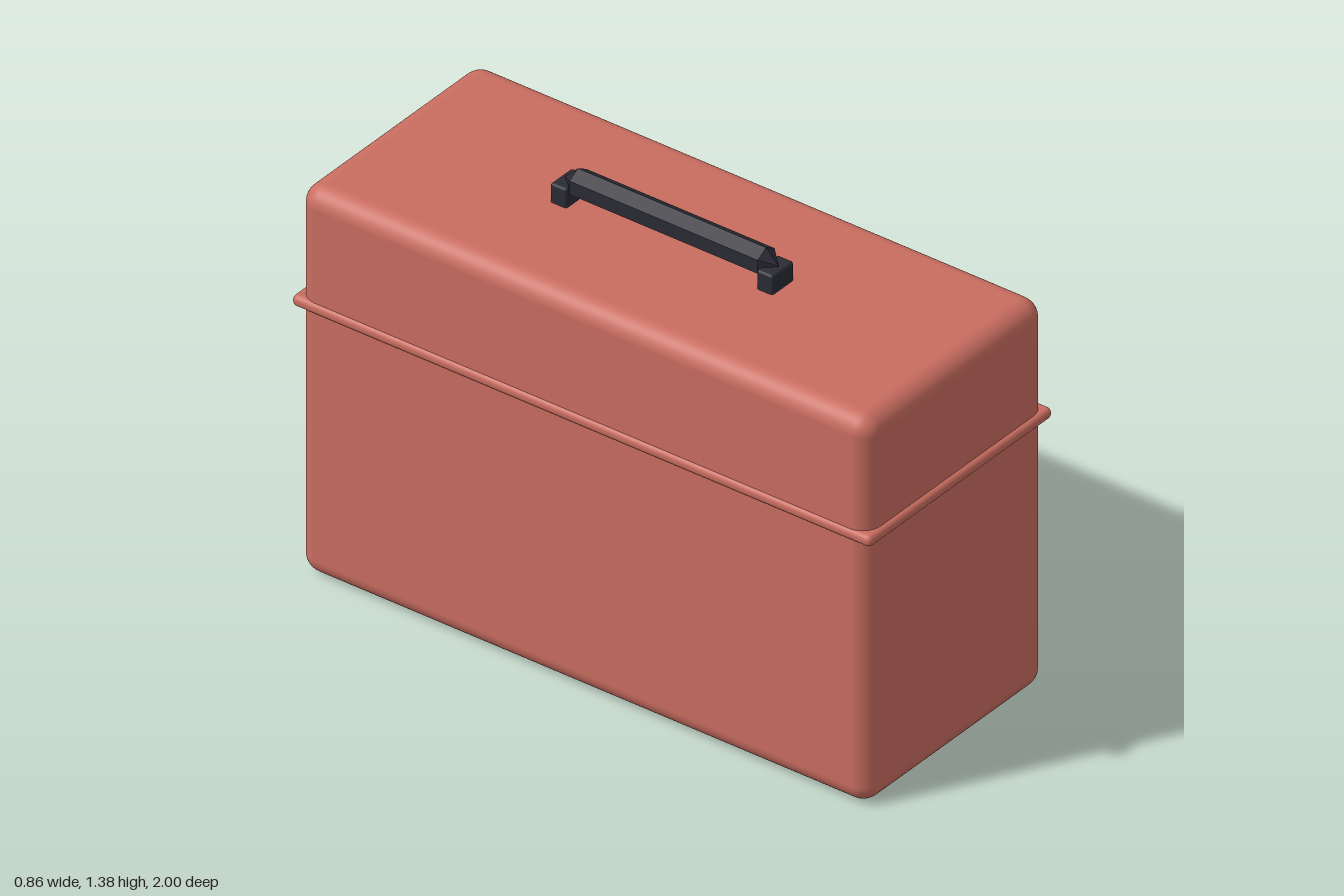
import * as THREE from 'three';
import { RoundedBoxGeometry } from 'three/addons/geometries/RoundedBoxGeometry.js';

const material = (name, color) => {
  const m = new THREE.MeshStandardMaterial({ color });
  m.name = name;
  return m;
};

// Gear outline: round body with straight-sided teeth, hole in the middle
function gearShape(bodyR, tipR, halfTooth, holeR, teeth) {
  const shape = new THREE.Shape();
  const root = Math.asin(halfTooth / bodyR);
  const step = (Math.PI * 2) / teeth;
  for (let i = 0; i < teeth; i++) {
    const a = i * step, c = Math.cos(a), s = Math.sin(a);
    const start = [bodyR * Math.cos(a - root), bodyR * Math.sin(a - root)];
    if (i === 0) shape.moveTo(...start);
    shape.lineTo(tipR * c + halfTooth * s, tipR * s - halfTooth * c);
    shape.lineTo(tipR * c - halfTooth * s, tipR * s + halfTooth * c);
    shape.lineTo(bodyR * Math.cos(a + root), bodyR * Math.sin(a + root));
    shape.absarc(0, 0, bodyR, a + root, a + step - root, false);
  }
  shape.holes.push(new THREE.Path().absarc(0, 0, holeR, 0, Math.PI * 2, true));
  return shape;
}

export function createModel() {
  const model = new THREE.Group();
  model.name = 'toolbox';
  const red = material('case red', 0xc96d60);
  const grey = material('light grey', 0xc4bfb6);
  const dark = material('dark grip', 0x2b2c35);

  const add = (name, geometry, mat, x, y, z) => {
    const mesh = new THREE.Mesh(geometry, mat);
    mesh.name = name;
    mesh.position.set(x, y, z);
    model.add(mesh);
    return mesh;
  };
  const rounded = (w, h, d, r, seg = 4) => new RoundedBoxGeometry(w, h, d, seg, r);
  const cx = -0.02; // the case sits slightly back from the latches

  // Case and the seam band around it
  add('case', rounded(0.81, 1.27, 1.97, 0.06, 5), red, cx, 0.635, 0);
  add('seamBand', rounded(0.828, 0.036, 2, 0.016), red, cx, 0.89, 0);

  // Latches and handle brackets, mirrored
  for (const side of [1, -1]) {
    add('latch', rounded(0.05, 0.146, 0.146, 0.012, 3), grey, 0.405, 0.891, side * 0.633);
    add('handleBracket', rounded(0.098, 0.075, 0.056, 0.008, 2), dark, cx, 1.294, side * 0.356);
  }

  // Six-sided grip with tapered ends
  const grip = new THREE.CapsuleGeometry(0.044, 0.65, 1, 6)
    .rotateY(Math.PI / 2).rotateX(Math.PI / 2).toNonIndexed();
  grip.computeVertexNormals();
  add('handleGrip', grip, dark, cx, 1.334, 0);

  // Label plate with gear emblem and raised hub
  add('labelPlate', new THREE.BoxGeometry(0.014, 0.455, 0.99), grey, 0.389, 0.463, 0);
  const gear = new THREE.ExtrudeGeometry(gearShape(0.133, 0.182, 0.031, 0.04, 8),
    { depth: 0.006, bevelEnabled: false, curveSegments: 6 }).rotateY(Math.PI / 2);
  add('gearEmblem', gear, dark, 0.395, 0.463, 0);
  const hub = new THREE.CylinderGeometry(0.046, 0.046, 0.009, 24).rotateZ(-Math.PI / 2);
  add('gearHub', hub, grey, 0.401, 0.463, 0);

  return model;
}
